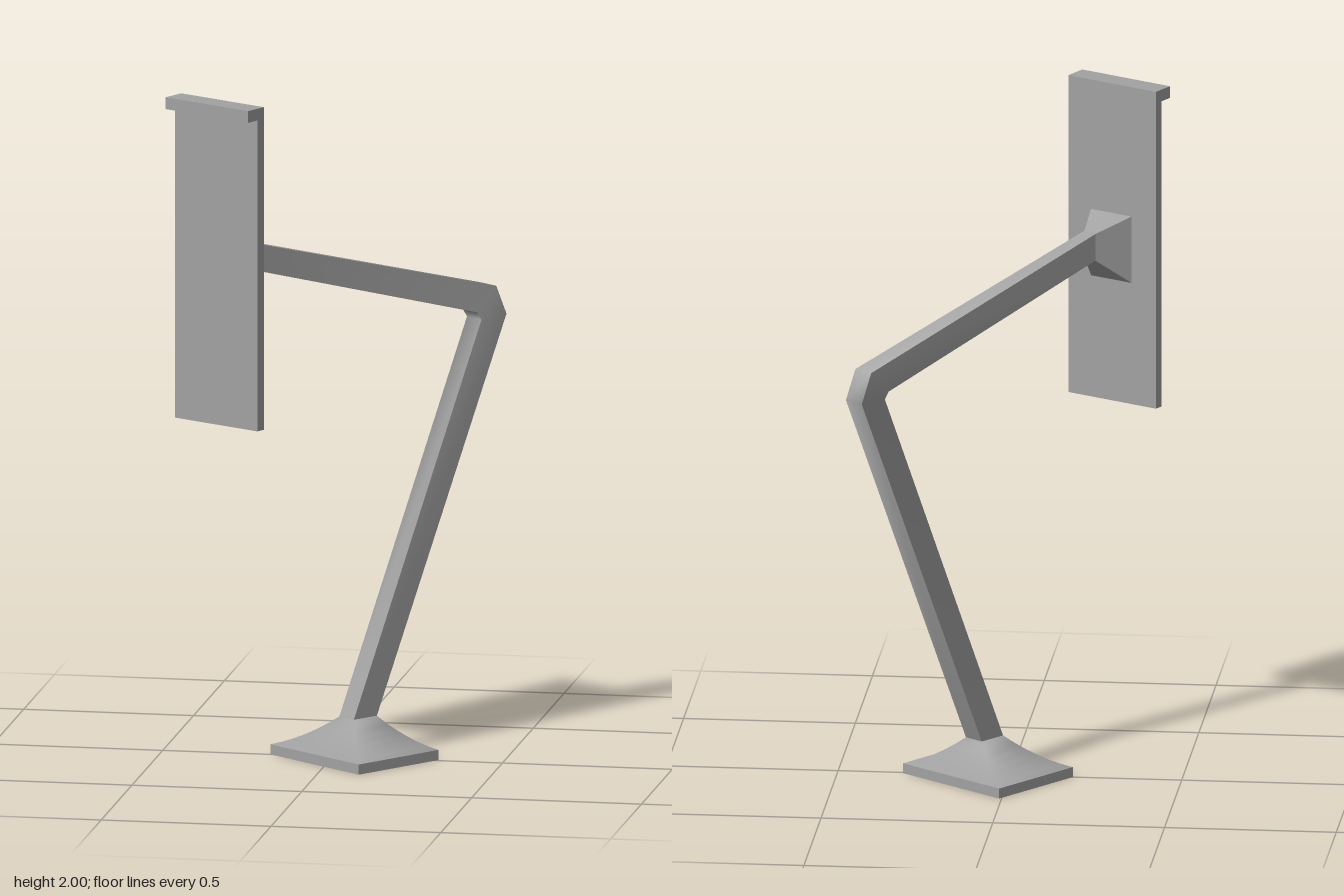
import * as THREE from 'three';
import { toCreasedNormals } from 'three/addons/utils/BufferGeometryUtils.js';

const material = new THREE.MeshStandardMaterial({ color: 0xa2a2a2 });

// Skin a list of four-cornered sections, closing both ends.
function loft(name, sections, crease = 0.3) {
  const pos = [];
  const quad = (a, b, c, d) => pos.push(...a, ...b, ...c, ...a, ...c, ...d);
  for (let s = 0; s < sections.length - 1; s++) {
    const p = sections[s], q = sections[s + 1];
    for (let i = 0; i < 4; i++) {
      const j = (i + 1) % 4;
      quad(p[i], p[j], q[j], q[i]);
    }
  }
  quad(...[...sections[0]].reverse());
  quad(...sections[sections.length - 1]);
  const g = new THREE.BufferGeometry();
  g.setAttribute('position', new THREE.Float32BufferAttribute(pos, 3));
  const mesh = new THREE.Mesh(toCreasedNormals(g, crease), material);
  mesh.name = name;
  return mesh;
}

// Lift a footprint of [x, z] corners to a height.
const at = (foot, y) => foot.map(([x, z]) => [x, y, z]);
const slab = (name, foot, y0, y1) => loft(name, [at(foot, y0), at(foot, y1)]);

export function createModel() {
  const model = new THREE.Group();
  model.name = 'bracketArm';

  // Footprints run counter-clockwise seen from above
  const plate = [[-0.183, 0], [0.12, 0.237], [0.31, -0.008], [0.007, -0.245]];
  const post = [[0.02, 0], [0.07, 0.04], [0.125, -0.03], [0.075, -0.07]];
  const panel = [[-0.4, 0.25], [-0.414, 0.276], [-0.144, 0.426], [-0.13, 0.4]];
  const lip = [[-0.4, 0.25], [-0.435, 0.313], [-0.165, 0.463], [-0.13, 0.4]];

  // Base plate with a smooth concave foot rising into the post
  model.add(slab('basePlate', plate, 0, 0.03));
  const flare = [];
  for (let i = 0; i <= 6; i++) {
    const t = i / 6;
    const foot = plate.map(([x, z], k) => [
      THREE.MathUtils.lerp(x, post[k][0], t),
      THREE.MathUtils.lerp(z, post[k][1], t),
    ]);
    flare.push(at(foot, 0.03 + 0.09 * (0.5 * t + 0.5 * t * t)));
  }
  model.add(loft('baseFlare', flare, 1.2));

  // Bent arm: post, softened elbow, upper arm
  const elbowLow = [[0.325, 1.235, -0.39], [0.375, 1.235, -0.35], [0.435, 1.24, -0.425], [0.385, 1.24, -0.465]];
  const elbowHigh = [[0.315, 1.257, -0.383], [0.364, 1.257, -0.346], [0.41, 1.327, -0.398], [0.36, 1.327, -0.437]];
  const wrist = [[-0.225, 1.49, 0.237], [-0.19, 1.49, 0.27], [-0.19, 1.57, 0.27], [-0.225, 1.57, 0.237]];
  model.add(loft('arm', [at(post, 0.12), elbowLow, elbowHigh, wrist], 1.1));

  // Mount widening from the arm to the panel
  const mount = [[-0.325, 1.41, 0.292], [-0.2, 1.41, 0.361], [-0.2, 1.61, 0.361], [-0.325, 1.61, 0.292]];
  model.add(loft('panelMount', [wrist, mount]));

  // Upright panel with a projecting top lip
  model.add(slab('panel', panel, 1.045, 1.965));
  model.add(slab('panelLip', lip, 1.965, 2));

  return model;
}
